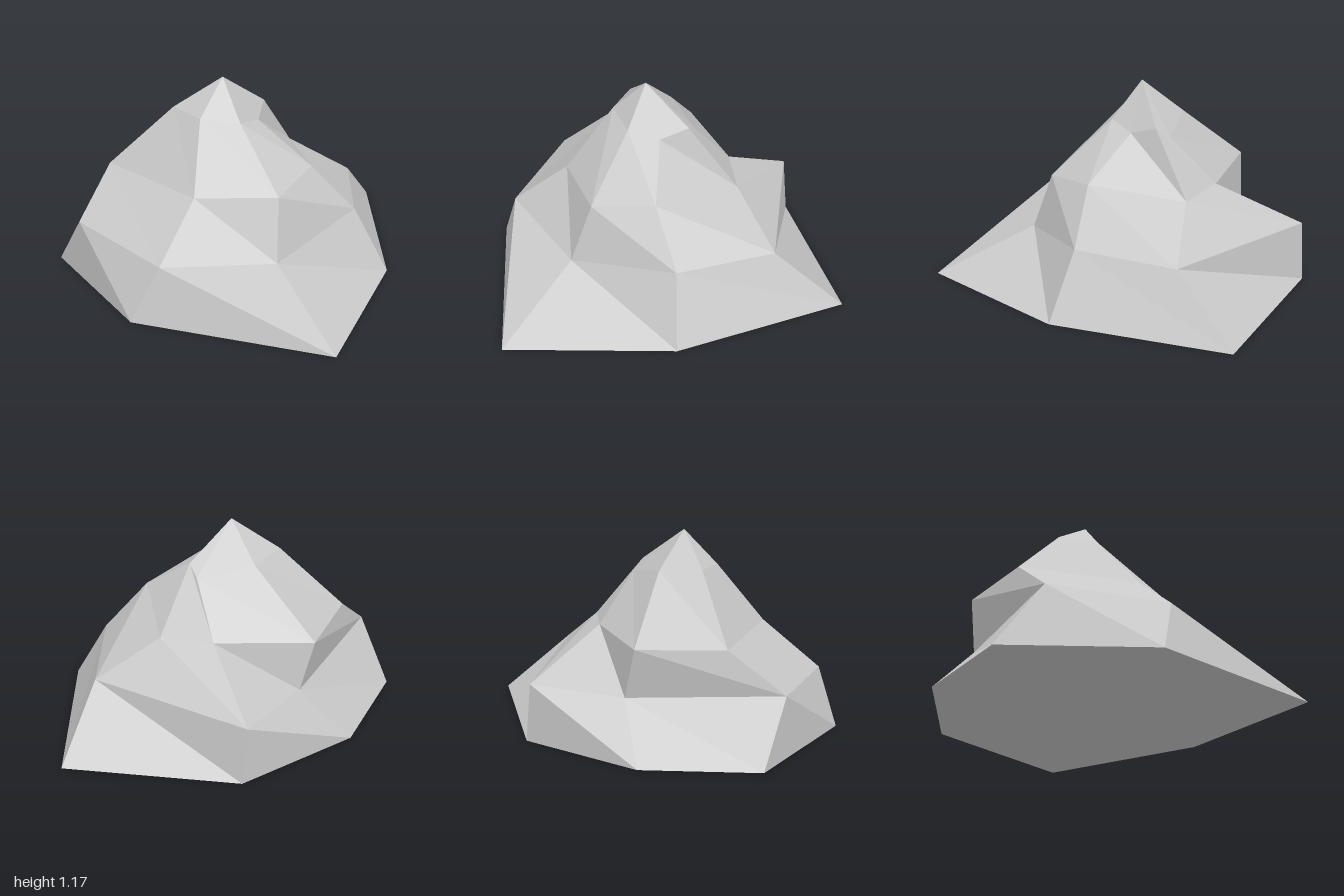
import * as THREE from 'three';

// Seven-sided cross-sections from the ground up, each point [x, y, z],
// running from the +x side round past the front.
const RINGS = [
  [[0.98, 0, 0.02], [0.86, 0, 1.0], [-0.31, 0, 0.98], [-0.98, 0, 0.41], [-0.86, 0, -0.27], [-0.35, 0, -0.87], [0.68, 0, -1.0]],
  [[0.76, 0.38, 0], [0.43, 0.27, 0.58], [-0.16, 0.33, 0.9], [-0.77, 0.36, 0.57], [-0.55, 0.31, -0.31], [-0.37, 0.35, -0.84], [0.61, 0.36, -0.59]],
  [[0.51, 0.67, 0.09], [0.4, 0.62, 0.45], [-0.06, 0.61, 0.57], [-0.69, 0.61, 0.25], [-0.62, 0.61, -0.26], [-0.06, 0.61, -0.42], [0.26, 0.6, -0.42]],
  [[0.17, 0.9, 0.03], [0.11, 0.94, 0.21], [-0.11, 0.97, 0.28], [-0.31, 0.98, 0.16], [-0.22, 0.96, -0.08], [0.1, 0.9, -0.2], [0.16, 0.96, -0.14]],
];
const PEAK = [-0.03, 1.17, 0.09];

function rockGeometry() {
  const positions = [];
  const tri = (a, b, c) => positions.push(...a, ...b, ...c);
  const sides = RINGS[0].length;
  const top = RINGS[RINGS.length - 1];
  for (let i = 0; i < sides; i++) {
    const j = (i + 1) % sides;
    // Faceted flanks
    for (let r = 0; r < RINGS.length - 1; r++) {
      const low = RINGS[r], high = RINGS[r + 1];
      tri(low[i], high[i], high[j]);
      tri(low[i], high[j], low[j]);
    }
    // Summit
    tri(top[i], PEAK, top[j]);
    // Flat underside
    if (i > 0 && i < sides - 1) tri(RINGS[0][0], RINGS[0][i], RINGS[0][j]);
  }
  const geometry = new THREE.BufferGeometry();
  geometry.setAttribute('position', new THREE.Float32BufferAttribute(positions, 3));
  geometry.computeVertexNormals();
  return geometry;
}

export function createModel() {
  const group = new THREE.Group();
  group.name = 'rock';
  const stone = new THREE.MeshStandardMaterial({ color: 0xc8c8c8, flatShading: true });
  stone.name = 'stone grey';
  const rock = new THREE.Mesh(rockGeometry(), stone);
  rock.name = 'boulder';
  group.add(rock);
  return group;
}
